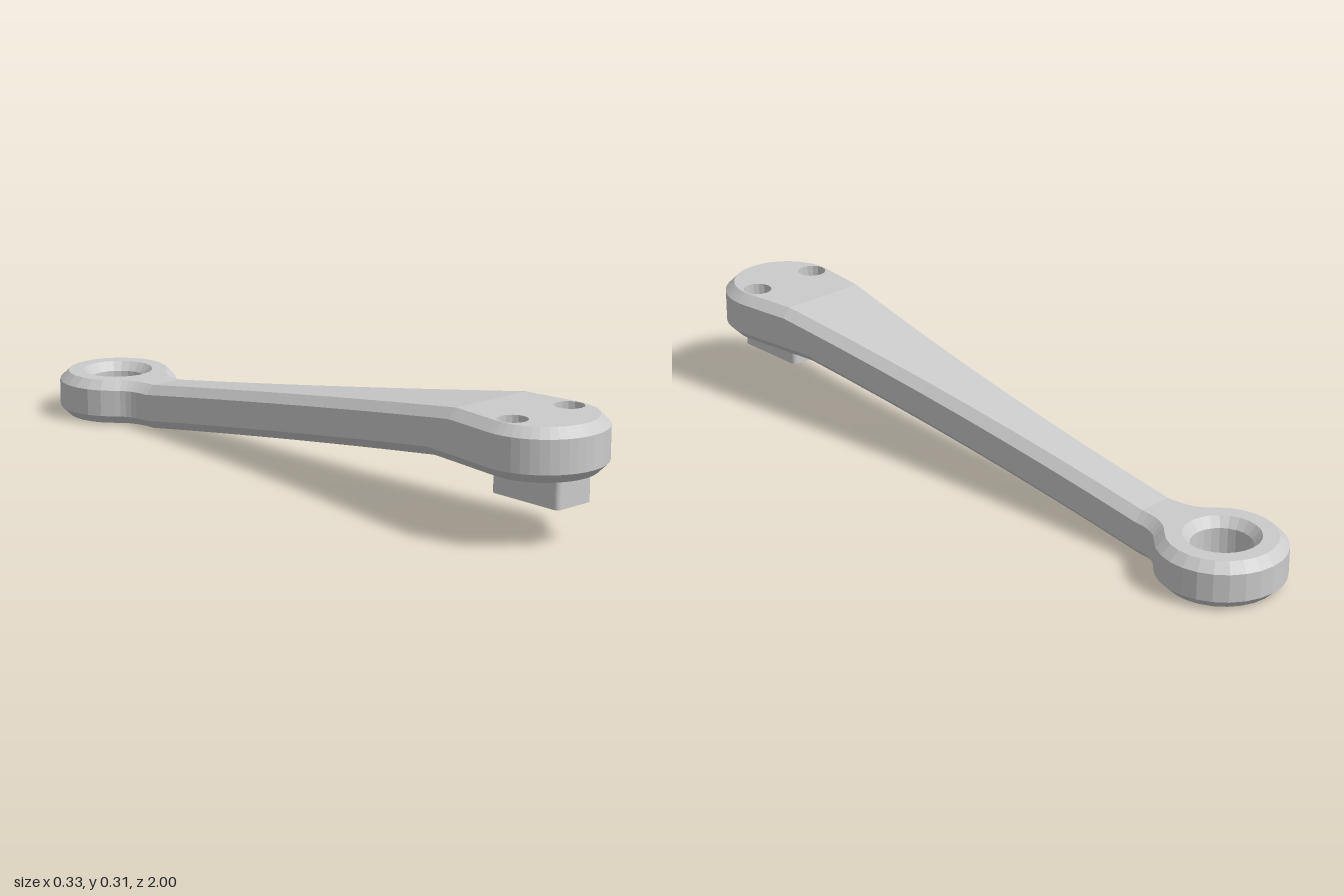
import * as THREE from 'three';

const BEVEL = 0.025;
const HEAD = { z: 0.833, r: 0.167 };
const EYE = { z: -0.833, r: 0.167 };
const FOLD = { top: 0.66, bottom: 0.58, back: -0.61 };
const lerpY = (z, zFront, low, high) =>
  low + (high - low) * THREE.MathUtils.clamp((z - FOLD.back) / (zFront - FOLD.back), 0, 1);
const topY = (z) => lerpY(z, FOLD.top, 0.125, 0.312);
const bottomY = (z) => lerpY(z, FOLD.bottom, 0, 0.175);

// Right half of the plan outline, from the front tip to the back tip: [x, z]
function halfOutline() {
  const pts = [];
  const a1 = Math.PI / 2 + 0.13;
  for (let i = 0; i <= 12; i++) {
    const a = (a1 * i) / 12;
    pts.push([HEAD.r * Math.sin(a), HEAD.z + HEAD.r * Math.cos(a)]);
  }
  for (const z of [0.74, FOLD.top, FOLD.bottom, 0.45, 0.3, 0.15, 0, -0.15, -0.3, -0.45]) {
    pts.push([0.073 + 0.047 * (z + 0.6) ** 2, z]);
  }
  // fillet into the round eye
  const a0 = Math.atan2(0.11, 0.125);
  const end = [EYE.r * Math.sin(a0), EYE.z + EYE.r * Math.cos(a0)];
  const fillet = new THREE.QuadraticBezierCurve(
    new THREE.Vector2(0.073, FOLD.back), new THREE.Vector2(0.073, -0.678), new THREE.Vector2(...end));
  fillet.getPoints(6).forEach((p) => pts.push([p.x, p.y]));
  for (let i = 1; i <= 10; i++) {
    const a = a0 + ((Math.PI - a0) * i) / 10;
    pts.push([i === 10 ? 0 : EYE.r * Math.sin(a), EYE.z + EYE.r * Math.cos(a)]);
  }
  return pts;
}

// Ring of points following the outline, inset along its normals
function outlineRing(half, inset, yAt) {
  const n = half.length;
  const right = half.map(([x, z], i) => {
    const p = i ? half[i - 1] : [-half[1][0], half[1][1]];
    const q = i < n - 1 ? half[i + 1] : [-half[n - 2][0], half[n - 2][1]];
    const tx = q[0] - p[0], tz = q[1] - p[1], len = Math.hypot(tx, tz);
    return new THREE.Vector3(x + (tz / len) * inset, yAt(z), z - (tx / len) * inset);
  });
  const left = right.slice(1, -1).reverse().map((v) => new THREE.Vector3(-v.x, v.y, v.z));
  return [...right, ...left];
}

function circleRing(cx, cz, r, y, segments) {
  return Array.from({ length: segments }, (_, i) => {
    const a = (i / segments) * Math.PI * 2;
    return new THREE.Vector3(cx + r * Math.sin(a), y, cz + r * Math.cos(a));
  });
}

// Joins successive rings; bottom to top faces outward, top to bottom faces inward
function joinRings(tris, rings) {
  for (let k = 0; k < rings.length - 1; k++) {
    const A = rings[k], B = rings[k + 1];
    A.forEach((a, i) => {
      const j = (i + 1) % A.length;
      tris.push(a, A[j], B[j], a, B[j], B[i]);
    });
  }
}

// Flat face between two stations of the outline, with optional holes
function addCap(tris, ring, from, to, holes, up) {
  const L = ring.length;
  const contour = [];
  for (let i = from; i <= to; i++) contour.push(ring[i]);
  for (let i = to; i >= from; i--) if (i > 0 && i !== L / 2) contour.push(ring[L - i]);
  const flat = (list) => list.map((v) => new THREE.Vector2(v.x, -v.z));
  const inner = holes.map((h) => [...h].reverse());
  const all = [contour, ...inner].flat();
  for (const [a, b, c] of THREE.ShapeUtils.triangulateShape(flat(contour), inner.map(flat))) {
    tris.push(all[a], ...(up ? [all[b], all[c]] : [all[c], all[b]]));
  }
}

function meshFrom(tris, material, name) {
  const geometry = new THREE.BufferGeometry().setFromPoints(tris);
  geometry.computeVertexNormals();
  const mesh = new THREE.Mesh(geometry, material);
  mesh.name = name;
  return mesh;
}

function roundedRect(path, w, h, r) {
  path.moveTo(w - r, -h);
  path.absarc(w - r, -h + r, r, -Math.PI / 2, 0);
  path.absarc(w - r, h - r, r, 0, Math.PI / 2);
  path.absarc(-w + r, h - r, r, Math.PI / 2, Math.PI);
  path.absarc(-w + r, -h + r, r, Math.PI, Math.PI * 1.5);
  path.closePath();
  return path;
}

export function createModel() {
  const group = new THREE.Group();
  group.name = 'leverArm';
  const material = new THREE.MeshStandardMaterial({ color: 0xcccccc, flatShading: true });

  // Bevelled side walls of the arm
  const half = halfOutline();
  const bottom = outlineRing(half, BEVEL, bottomY);
  const top = outlineRing(half, BEVEL, topY);
  const arm = [];
  joinRings(arm, [
    bottom,
    outlineRing(half, 0, (z) => bottomY(z) + BEVEL),
    outlineRing(half, 0, (z) => topY(z) - BEVEL),
    top,
  ]);

  // Eye bore, chamfered at both ends
  const bore = [[0.1, 0.125], [0.079, 0.1], [0.079, 0.025], [0.1, 0]]
    .map(([r, y]) => circleRing(0, EYE.z, r, y, 24));
  // Counterbored screw holes in the head
  const screws = [-0.1, 0.1].map((x) =>
    [[0.039, 0.312], [0.039, 0.24], [0.02, 0.24], [0.02, 0.175]]
      .map(([r, y]) => circleRing(x, 0.83, r, y, 16)));
  const eyeWall = [];
  joinRings(eyeWall, bore);
  const screwWalls = [];
  screws.forEach((rings) => joinRings(screwWalls, rings));

  // Top and bottom faces, folded where the arm starts to slope
  const station = (z) => half.findIndex((p) => Math.abs(p[1] - z) < 1e-6);
  const last = half.length - 1, back = station(FOLD.back);
  const faces = [[top, station(FOLD.top), 0, true], [bottom, station(FOLD.bottom), 3, false]];
  for (const [ring, fold, end, up] of faces) {
    addCap(arm, ring, 0, fold, screws.map((s) => s[end]), up);
    addCap(arm, ring, fold, back, [], up);
    addCap(arm, ring, back, last, [bore[end]], up);
  }
  group.add(
    meshFrom(arm, material, 'arm'),
    meshFrom(eyeWall, material, 'eyeBore'),
    meshFrom(screwWalls, material, 'screwHoles'));

  // Hollow rectangular boss under the head
  const shape = roundedRect(new THREE.Shape(), 0.061, 0.11, 0.013);
  shape.holes.push(roundedRect(new THREE.Path(), 0.038, 0.085, 0.008));
  const bossGeometry = new THREE.ExtrudeGeometry(shape, { depth: 0.08, bevelEnabled: false, curveSegments: 4 });
  bossGeometry.rotateX(-Math.PI / 2);
  const boss = new THREE.Mesh(bossGeometry, material);
  boss.name = 'boss';
  boss.position.set(0, 0.1, 0.835);
  group.add(boss);

  return group;
}
